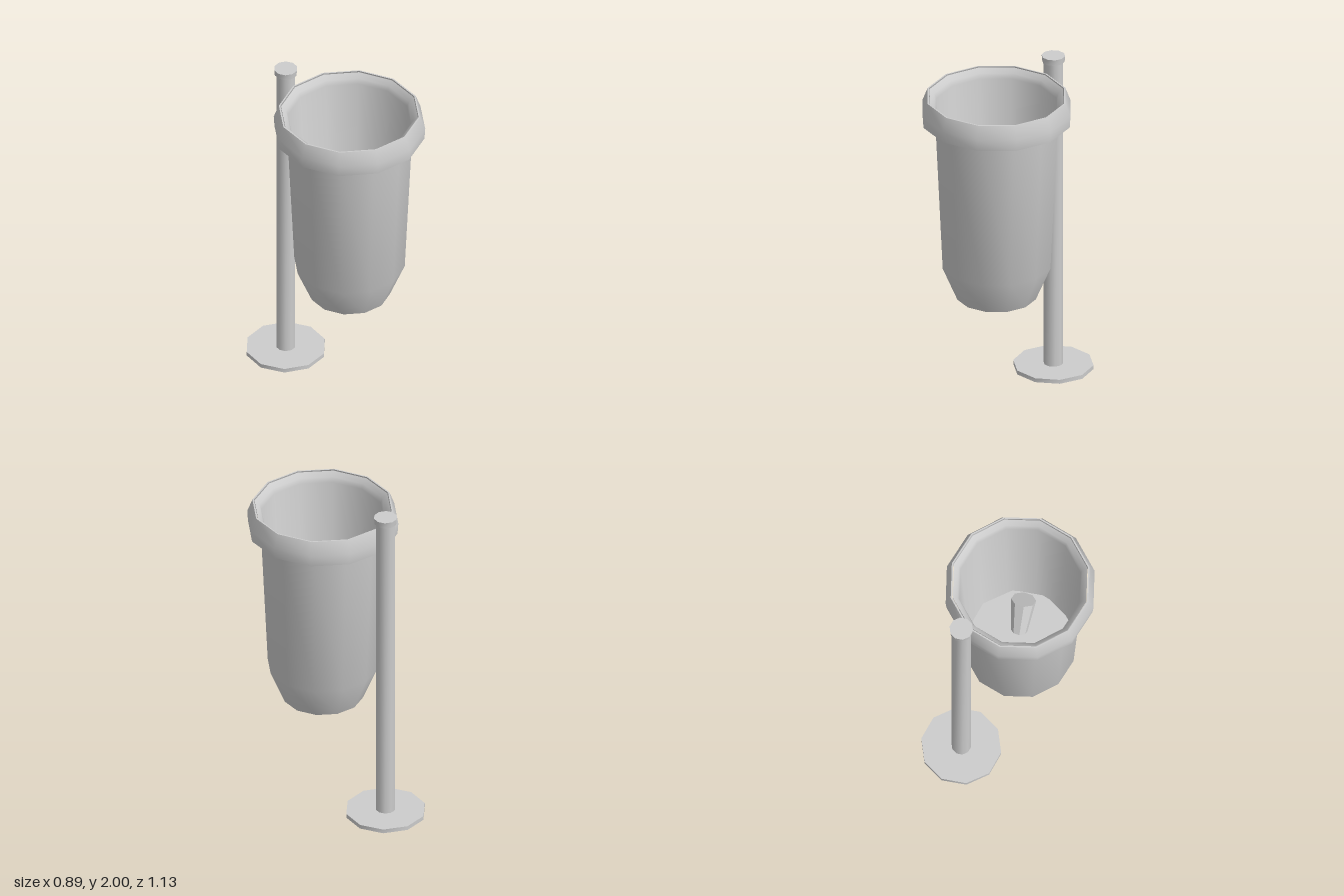
import * as THREE from 'three';
import { toCreasedNormals } from 'three/addons/utils/BufferGeometryUtils.js';

const BIN_Z = 0.124;
const POST_Z = -0.344;
const CREASE = 0.7;

export function createModel() {
  const model = new THREE.Group();
  model.name = 'litterBin';
  const grey = new THREE.MeshStandardMaterial({ color: 0xcccccc });
  grey.name = 'lightGrey';

  const add = (name, geometry, parent, x = 0, y = 0, z = 0, crease = CREASE) => {
    const mesh = new THREE.Mesh(toCreasedNormals(geometry, crease), grey);
    mesh.name = name;
    mesh.position.set(x, y, z);
    parent.add(mesh);
    return mesh;
  };
  const lathe = (points) =>
    new THREE.LatheGeometry(points.map(([r, y]) => new THREE.Vector2(r, y)), 12);
  // ten-sided cylinder with corners on the x axis
  const decagon = (top, bottom, height) =>
    new THREE.CylinderGeometry(top, bottom, height, 10, 1, false, Math.PI / 2);

  // Stand: base plate, post and cap
  const stand = new THREE.Group();
  stand.name = 'stand';
  stand.position.z = POST_Z;
  model.add(stand);
  add('basePlate', decagon(0.235, 0.235, 0.025), stand, 0, 0.0125);
  add('post', decagon(0.057, 0.057, 1.95), stand, 0, 0.995);
  add('postCap', decagon(0.069, 0.066, 0.037), stand, 0, 1.9815);

  // Bin: hollow tapered bucket with a flared lip
  const bin = new THREE.Group();
  bin.name = 'bin';
  bin.position.z = BIN_Z;
  model.add(bin);
  add('bucket', lathe([
    [0, 0.6], [0.235, 0.62], [0.323, 0.83], [0.366, 1.75], [0.372, 1.84],
    [0.4, 1.885], [0.4, 1.895], [0.372, 1.87], [0.36, 1.84],
    [0.312, 0.84], [0.226, 0.64], [0, 0.63],
  ]), bin);

  // Loose collar around the mouth, open underneath
  add('collar', lathe([
    [0.425, 1.75], [0.438, 1.75], [0.443, 1.82], [0.413, 1.9],
    [0.404, 1.9], [0.43, 1.82], [0.425, 1.75],
  ]), bin);

  // Contents: fill level, crumpled ball and a tilted cup
  add('fillLevel', decagon(0.313, 0.313, 0.01), bin, 0, 0.915);
  add('crumpledBall', new THREE.SphereGeometry(0.087, 6, 4), bin, -0.139, 0.98, 0.003 - BIN_Z, 0.1);
  const cup = add('cup', new THREE.CylinderGeometry(0.073, 0.048, 0.22, 8), bin,
    0.08, 1.03, 0.21 - BIN_Z, 0.1);
  cup.quaternion.setFromUnitVectors(new THREE.Vector3(0, 1, 0),
    new THREE.Vector3(0.33, 0.82, 0.47).normalize());

  return model;
}
